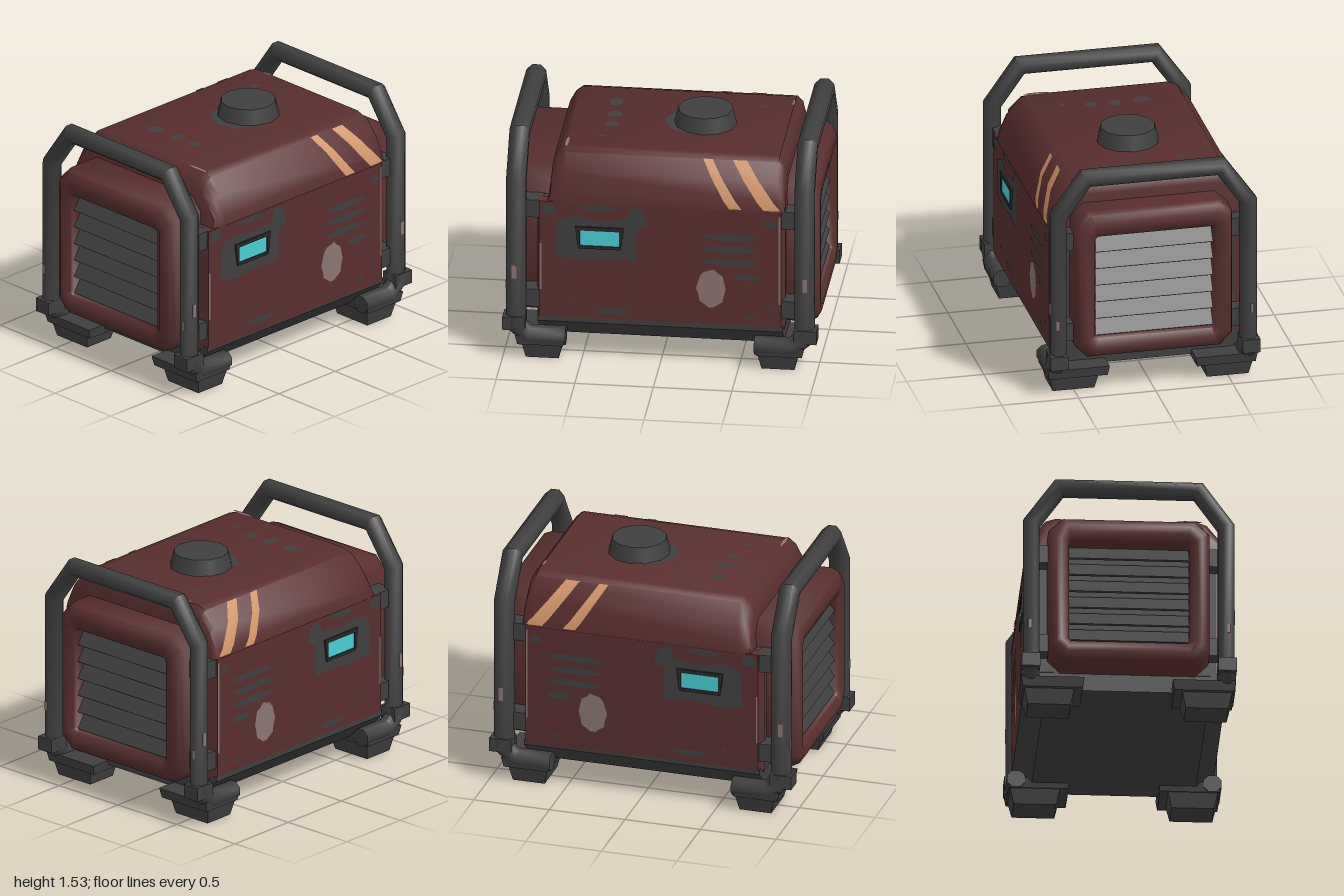
import * as THREE from 'three';
import { toCreasedNormals } from 'three/addons/utils/BufferGeometryUtils.js';

const material = (name, color) => {
  const m = new THREE.MeshStandardMaterial({ color, side: THREE.DoubleSide });
  m.name = name;
  return m;
};

// Skin over a row of equal-length rings, each counter-clockwise around the travel direction
function loft(rings, caps = true, crease = 0.75) {
  const n = rings[0].length, last = (rings.length - 1) * n;
  const points = rings.flat(), index = [];
  for (let i = 0; i < rings.length - 1; i++) {
    for (let j = 0; j < n; j++) {
      const a = i * n + j, b = i * n + (j + 1) % n;
      index.push(a, b, b + n, a, b + n, a + n);
    }
  }
  if (caps) {
    for (const [start, ring] of [[0, rings[0]], [last, rings.at(-1)]]) {
      const mid = points.length;
      points.push(ring.reduce((s, p) => s.add(p), new THREE.Vector3()).divideScalar(n));
      for (let j = 0; j < n; j++) {
        const a = start + j, b = start + (j + 1) % n;
        if (start === 0) index.push(mid, b, a); else index.push(mid, a, b);
      }
    }
  }
  const g = new THREE.BufferGeometry().setFromPoints(points);
  g.setIndex(index);
  return toCreasedNormals(g, crease);
}

// Ring at x from half a [z, y] profile, listed top to bottom
const ringFrom = (half, x) => [
  ...half.map(([z, y]) => new THREE.Vector3(x, y, z)),
  ...[...half].reverse().map(([z, y]) => new THREE.Vector3(x, y, -z)),
];
const octagon = (hz, y0, y1, c) => [[hz - c, y1], [hz, y1 - c], [hz, y0 + c], [hz - c, y0]];

// Mitred eight-sided pipe along a flat path; normal is the path plane's normal
function pipe(path, normal, hn, hm) {
  const p = path.map(a => new THREE.Vector3(...a));
  const sideOf = i => normal.clone().cross(p[i + 1].clone().sub(p[i]).normalize());
  const rings = p.map((c, i) => {
    const m1 = sideOf(Math.max(i - 1, 0)), m2 = sideOf(Math.min(i, p.length - 2));
    const m = m1.clone().add(m2).normalize();
    m.divideScalar(m.dot(m1));
    return Array.from({ length: 8 }, (_, j) => {
      const a = (j + 0.5) * Math.PI / 4, k = 1 / Math.cos(Math.PI / 8);
      return c.clone().addScaledVector(m, hm * k * Math.cos(a)).addScaledVector(normal, hn * k * Math.sin(a));
    });
  });
  return loft(rings, true, 0.9);
}

// Box whose top face has its own size
function frustum(w0, d0, w1, d1, h) {
  const g = new THREE.BoxGeometry(1, h, 1), p = g.attributes.position;
  for (let i = 0; i < p.count; i++) {
    const top = p.getY(i) > 0;
    p.setX(i, p.getX(i) * (top ? w1 : w0));
    p.setZ(i, p.getZ(i) * (top ? d1 : d0));
  }
  g.computeVertexNormals();
  return g;
}

// Slightly ragged oval outline
const blob = (cx, cy, rx, ry) => Array.from({ length: 18 }, (_, i) => {
  const a = i * Math.PI / 9, k = 1 + 0.06 * Math.sin(i * 2.7 + cx * 9);
  return [cx + rx * k * Math.cos(a), cy + ry * k * Math.sin(a)];
});
const rect = (x0, x1, y0, y1) => [[x0, y0], [x1, y0], [x1, y1], [x0, y1]];

export function createModel() {
  const red = material('red paint', 0x582e2e);
  const grey = material('dark metal', 0x3f3f3f);
  const black = material('screen surround', 0x2b2727);
  const pale = material('bare primer', 0x8a7570);
  const orange = material('orange stripe', 0xcf9566);
  const cyan = material('cyan screen', 0x46ced6);

  const model = new THREE.Group();
  model.name = 'generator';
  const add = (name, geo, mat, x = 0, y = 0, z = 0) => {
    const m = new THREE.Mesh(geo, mat);
    m.name = name;
    m.position.set(x, y, z);
    model.add(m);
    return m;
  };
  const X = new THREE.Vector3(1, 0, 0), Z = new THREE.Vector3(0, 0, 1);

  // Core, keel and hood
  add('core', new THREE.BoxGeometry(1.57, 0.83, 1.16), grey, 0, 0.67, 0);
  const keel = [[0.64, 0.29], [0.64, 0.26], [0.52, 0.135]];
  add('keel', loft([ringFrom(keel, -0.78), ringFrom(keel, 0.78)], true, 0.3), grey);
  const hood = [[0.45, 1.4], [0.51, 1.38], [0.59, 1.28], [0.64, 1.15], [0.648, 1.09]];
  const hoodRing = (x, ky, kz) => ringFrom(hood.map(([z, y]) => [z * kz, 1.09 + (y - 1.09) * ky]), x);
  add('hood', loft([
    hoodRing(-0.72, 0, 0.97), hoodRing(-0.70, 0.68, 0.97), hoodRing(-0.665, 0.88, 0.99), hoodRing(-0.62, 1, 1),
    hoodRing(0.74, 1, 1), hoodRing(0.775, 0.88, 0.99), hoodRing(0.79, 0.7, 0.97), hoodRing(0.795, 0, 0.97),
  ]), red);

  // Exhaust cap with its soot ring
  add('exhaustCap', new THREE.CylinderGeometry(0.175, 0.2, 0.1, 12), grey, 0.215, 1.45, 0);
  const topPaint = (name, pts, mat) => {
    const g = new THREE.ShapeGeometry(new THREE.Shape(pts.map(([x, z]) => new THREE.Vector2(x, -z))));
    add(name, g.rotateX(-Math.PI / 2), mat, 0, 1.403, 0);
  };
  topPaint('soot', blob(0.16, 0, 0.2, 0.19), grey);
  for (const s of [[-0.38, -0.23, 0.04, 0.055], [-0.37, -0.05, 0.05, 0.04], [-0.37, 0.1, 0.043, 0.04],
    [-0.41, 0.28, 0.03, 0.015], [0.55, -0.27, 0.025, 0.02]]) topPaint('hoodScuff', blob(...s), grey);
  topPaint('hoodChip', blob(-0.62, 0.4, 0.012, 0.08), pale);
  topPaint('hoodChip', blob(0.735, -0.35, 0.008, 0.04), pale);

  for (const s of [1, -1]) {
    // Side panel with tapered edges
    const panel = frustum(1.58, 0.82, 1.54, 0.82, 0.08).rotateX(s * Math.PI / 2);
    add('sidePanel', panel, red, 0, 0.68, s * 0.6);

    const paint = (name, pts, mat, z = 0.643) => {
      const g = new THREE.ShapeGeometry(new THREE.Shape(pts.map(([x, y]) => new THREE.Vector2(s * x, y))));
      add(name, s < 0 ? g.rotateY(Math.PI) : g, mat, 0, 0, s * z);
    };
    // Worn patch and screen
    paint('wornPatch', [[-0.67, 0.72], [-0.5, 0.695], [-0.32, 0.72], [-0.15, 0.7], [-0.15, 0.92], [-0.08, 0.95],
      [-0.11, 1.05], [-0.18, 1.08], [-0.22, 0.99], [-0.4, 0.97], [-0.55, 1.0], [-0.65, 0.96]], grey);
    paint('wornPatch', blob(-0.71, 1.04, 0.05, 0.035), grey);
    paint('wornPatch', blob(-0.4, 1.06, 0.11, 0.02), grey);
    const surround = new THREE.Shape([[-0.52, 0.78], [-0.25, 0.78], [-0.23, 0.93], [-0.54, 0.93]]
      .map(a => new THREE.Vector2(...a)));
    surround.holes.push(new THREE.Path(rect(-0.51, -0.26, 0.8, 0.905).map(a => new THREE.Vector2(...a))));
    add('screenSurround', new THREE.ExtrudeGeometry(surround, { depth: 0.015, bevelEnabled: false }),
      black, 0, 0, s > 0 ? 0.64 : -0.655);
    paint('screen', rect(-0.51, -0.26, 0.8, 0.905), cyan, 0.647);

    // Painted vents, bare spots and scuffs
    for (const [x, y, r] of [[0.445, 0.9, 0.18], [0.445, 0.815, 0.18], [0.445, 0.727, 0.18], [0.545, 0.63, 0.08]])
      paint('ventMark', blob(x, y, r, 0.023), grey);
    paint('primerSpot', blob(0.325, 0.54, 0.092, 0.13), pale);
    for (const b of [[-0.31, 0.35, 0.11, 0.02], [0.7, 1.0, 0.035, 0.025], [0.58, 0.35, 0.03, 0.015],
      [0.7, 0.41, 0.015, 0.012], [-0.55, 0.4, 0.015, 0.012]]) paint('scuff', blob(...b), grey);
    paint('edgeWear', rect(-0.767, -0.755, 0.48, 0.8), pale);
    paint('edgeWear', rect(0.755, 0.767, 0.45, 1.06), pale);

    // Slanted stripes that follow the hood curve
    for (const [top, bottom] of [[[0.26, 0.32], [0.44, 0.52]], [[0.45, 0.54], [0.66, 0.77]]]) {
      const pts = [], index = [];
      hood.slice(1).forEach(([z, y], i) => {
        const t = (1.38 - y) / 0.29;
        const yy = Math.max(y, 1.1) + 0.003;
        for (const k of [0, 1])
          pts.push(new THREE.Vector3(THREE.MathUtils.lerp(top[k], bottom[k], t), yy, s * (z + 0.004)));
        const a = 2 * i;
        if (i < 3) index.push(...(s > 0 ? [a, a + 2, a + 3, a, a + 3, a + 1] : [a, a + 3, a + 2, a, a + 1, a + 3]));
      });
      const g = new THREE.BufferGeometry().setFromPoints(pts);
      g.setIndex(index);
      g.computeVertexNormals();
      add('hoodStripe', g, orange);
    }
  }

  for (const s of [1, -1]) {
    // End cowl with rounded rim and recessed mouth
    const cowl = [
      [0.68, 0.51, 0.25, 1.25, 0.08], [0.93, 0.51, 0.25, 1.25, 0.08], [0.975, 0.495, 0.27, 1.235, 0.08],
      [1.0, 0.46, 0.31, 1.19, 0.07], [1.0, 0.43, 0.345, 1.145, 0.05], [0.975, 0.39, 0.39, 1.09, 0.02],
      [0.95, 0.38, 0.4, 1.08, 0.01], [0.86, 0.38, 0.4, 1.08, 0.01],
    ].map(([x, ...o]) => ringFrom(octagon(...o), s * x));
    if (s < 0) cowl.forEach(r => r.reverse());
    add('endCowl', loft(cowl, false, 0.9), red);
    add('grilleBack', new THREE.BoxGeometry(0.02, 0.7, 0.78), black, s * 0.86, 0.74, 0);
    for (let i = 0; i < 6; i++) {
      const slat = add('grilleSlat', new THREE.BoxGeometry(0.13, 0.012, 0.76), grey, s * 0.915, 0.455 + i * 0.114, 0);
      slat.rotation.z = -s * 0.95;
    }

    // Roll bar
    const half = [[0.2, 0.617], [1.225, 0.617], [1.475, 0.44]];
    const path = [...half.map(([y, z]) => [s * 0.917, y, z]), ...half.map(([y, z]) => [s * 0.917, y, -z]).reverse()];
    add('rollBar', pipe(path, X, 0.063, 0.052), grey);

    for (const f of [1, -1]) {
      // Clamps, corner elbow, foot plate and foot
      for (const y of [0.41, 1.03]) add('barClamp', new THREE.BoxGeometry(0.14, 0.12, 0.13), grey, s * 0.82, y, f * 0.565);
      const elbow = [[0.925, 0.29], [0.925, 0.23], [0.84, 0.155], [0.6, 0.155]].map(([x, y]) => [s * x, y, f * 0.622]);
      add('cornerElbow', pipe(elbow, Z, 0.058, 0.056), grey);
      add('elbowCollar', frustum(0.145, 0.116, 0.145, 0.116, 0.09), grey, s * 0.927, 0.245, f * 0.622);
      add('footPlate', frustum(0.29, 0.38, 0.32, 0.4, 0.065), grey, s * 0.76, 0.1325, f * 0.48);
      add('foot', frustum(0.21, 0.27, 0.26, 0.32, 0.11), grey, s * 0.75, 0.055, f * 0.5);
      // Wear on the bars
      add('barWear', new THREE.BoxGeometry(0.03, 0.09, 0.006), pale, s * 0.925, 0.6, f * 0.668);
      add('barWear', new THREE.BoxGeometry(0.006, 0.06, 0.02), pale, s * 0.979, 0.5, f * 0.63);
    }
  }
  return model;
}
